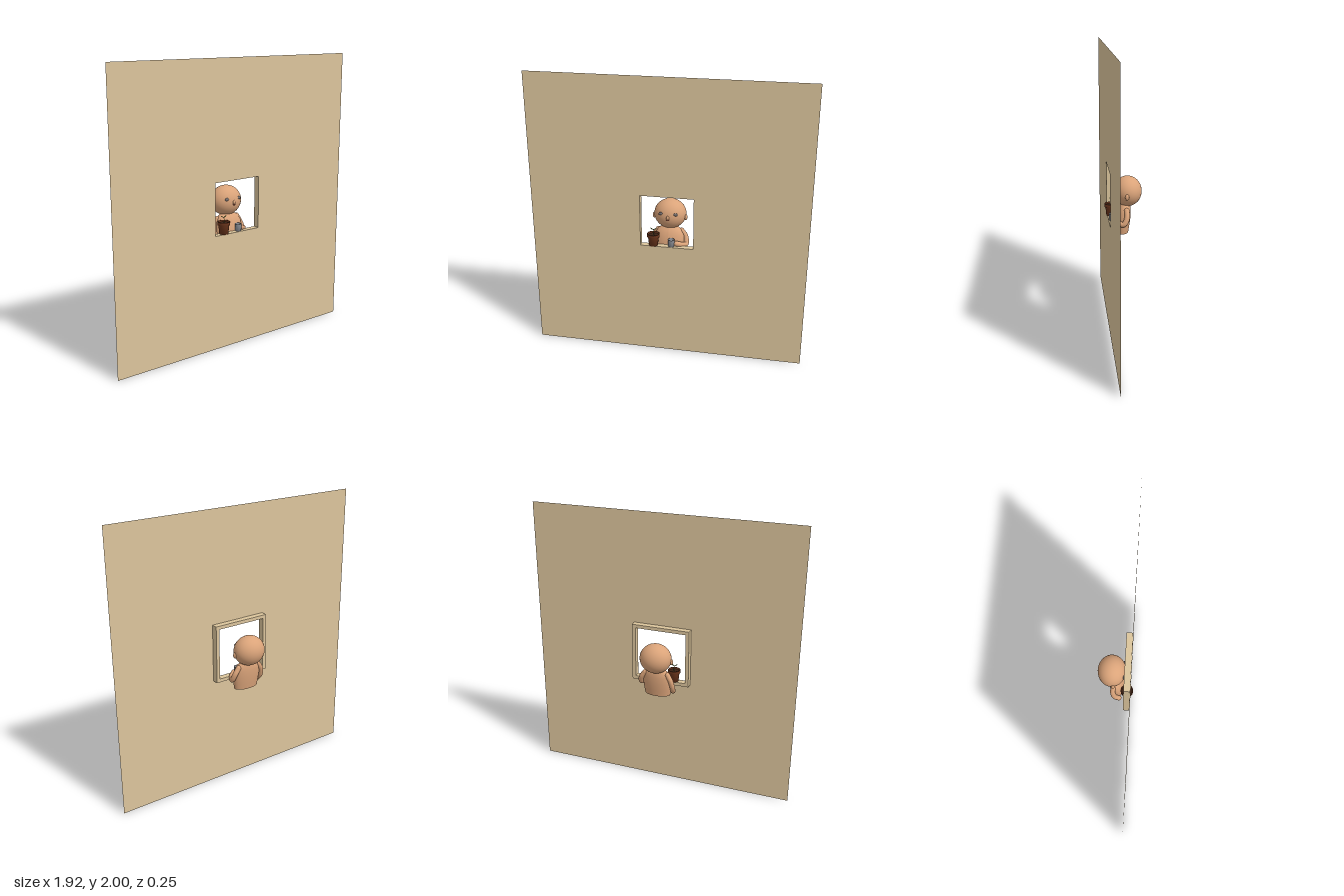
import * as THREE from 'three';

const mat = (color) => new THREE.MeshStandardMaterial({ color, side: THREE.DoubleSide });
const skin = mat(0xdba47a), wood = mat(0xdcc59c), clay = mat(0x6b351c), soil = mat(0x3a2114);
const leaf = mat(0x5f7a35), metal = mat(0x8f9299), eyeGrey = mat(0x77706f), lip = mat(0x96523f);

export function createModel() {
  const model = new THREE.Group();
  const add = (name, geometry, material, x = 0, y = 0, z = 0) => {
    const mesh = new THREE.Mesh(geometry, material);
    mesh.name = name;
    mesh.position.set(x, y, z);
    model.add(mesh);
    return mesh;
  };
  const ball = (name, material, p, s) => {
    const mesh = add(name, new THREE.SphereGeometry(1, 32, 20), material, ...p);
    mesh.scale.set(...s);
    return mesh;
  };
  const rect = (Type, x, y0, y1) => new Type([[-x, y0], [x, y0], [x, y1], [-x, y1]].map((p) => new THREE.Vector2(...p)));

  // Thin wall with a window opening
  const wallShape = rect(THREE.Shape, 0.96, 0, 2);
  wallShape.holes.push(rect(THREE.Path, 0.185, 0.82, 1.187));
  add('wall', new THREE.ShapeGeometry(wallShape), wood, 0, 0, 0.109);

  // Window frame behind the wall
  const frameShape = rect(THREE.Shape, 0.21, 0.795, 1.212);
  frameShape.holes.push(rect(THREE.Path, 0.185, 0.82, 1.187));
  add('windowFrame', new THREE.ExtrudeGeometry(frameShape, { depth: 0.045, bevelEnabled: false }), wood, 0, 0, 0.063);

  // Head and face
  const head = [0, 1.022, -0.025];
  ball('head', skin, head, [0.112, 0.105, 0.098]);
  for (const s of [-1, 1]) {
    ball('ear', skin, [s * 0.111, 1.005, -0.012], [0.011, 0.021, 0.014]);
    ball('eye', eyeGrey, [s * 0.05, 1.046, 0.058], [0.017, 0.011, 0.007]);
  }
  ball('nose', skin, [0, 1.022, 0.073], [0.01, 0.016, 0.009]);
  ball('mouth', lip, [0, 1.008, 0.074], [0.011, 0.006, 0.006]);

  // Torso, open below; rows of [y, half width, front z, back z]
  const rows = [
    [0.735, 0.092, 0.066, -0.03], [0.78, 0.1, 0.069, -0.037], [0.83, 0.104, 0.066, -0.044],
    [0.88, 0.1, 0.054, -0.046], [0.915, 0.083, 0.038, -0.044], [0.938, 0.045, 0.018, -0.036],
  ];
  const torso = new THREE.CylinderGeometry(1, 1, 1, 32, rows.length - 1, true);
  const pos = torso.attributes.position;
  for (let i = 0; i < pos.count; i++) {
    const [y, w, front, back] = rows[Math.round((pos.getY(i) + 0.5) * (rows.length - 1))];
    pos.setXYZ(i, pos.getX(i) * w, y, (front + back) / 2 + pos.getZ(i) * (front - back) / 2);
  }
  torso.computeVertexNormals();
  add('torso', torso, skin);

  // Bent arms
  const limb = (name, points, radius) => {
    const curve = new THREE.CatmullRomCurve3(points.map((p) => new THREE.Vector3(...p)));
    add(name, new THREE.TubeGeometry(curve, 24, radius, 12), skin);
    for (const p of [points[0], points[points.length - 1]]) ball(name + 'End', skin, p, [radius, radius, radius]);
  };
  limb('leftArm', [[0.082, 0.902, -0.012], [0.11, 0.86, -0.012], [0.118, 0.815, 0.012], [0.095, 0.822, 0.05], [0.06, 0.837, 0.072]], 0.019);
  limb('rightArm', [[-0.082, 0.902, -0.012], [-0.106, 0.86, -0.014], [-0.115, 0.805, 0], [-0.11, 0.765, 0.03]], 0.018);
  ball('leftHand', skin, [0.055, 0.838, 0.076], [0.017, 0.013, 0.014]);
  ball('rightHand', skin, [-0.108, 0.762, 0.032], [0.014, 0.018, 0.012]);

  // Flower pot with a sprout
  const lathe = (points, n = 28) => new THREE.LatheGeometry(points.map((p) => new THREE.Vector2(...p)), n);
  add('flowerPot', lathe([[0, 0], [0.031, 0], [0.037, 0.062], [0.043, 0.062], [0.044, 0.085], [0.038, 0.085], [0.036, 0.072]]), clay, -0.098, 0.82, 0.085);
  add('soil', new THREE.CylinderGeometry(0.037, 0.037, 0.004, 24), soil, -0.098, 0.893, 0.085);
  const stem = new THREE.CatmullRomCurve3([[-0.098, 0.89, 0.085], [-0.094, 0.915, 0.085], [-0.1, 0.938, 0.085]].map((p) => new THREE.Vector3(...p)));
  add('stem', new THREE.TubeGeometry(stem, 12, 0.0018, 6), leaf);
  for (const s of [-1, 1]) {
    ball('leaf', leaf, [-0.098 + s * 0.011, 0.94, 0.085], [0.012, 0.0025, 0.006]).rotation.z = s * 0.5;
  }

  // Cup on the sill
  add('cup', lathe([[0, 0], [0.021, 0], [0.023, 0.05], [0.021, 0.05], [0.019, 0.004], [0, 0.004]]), metal, 0.027, 0.82, 0.083);

  return model;
}
